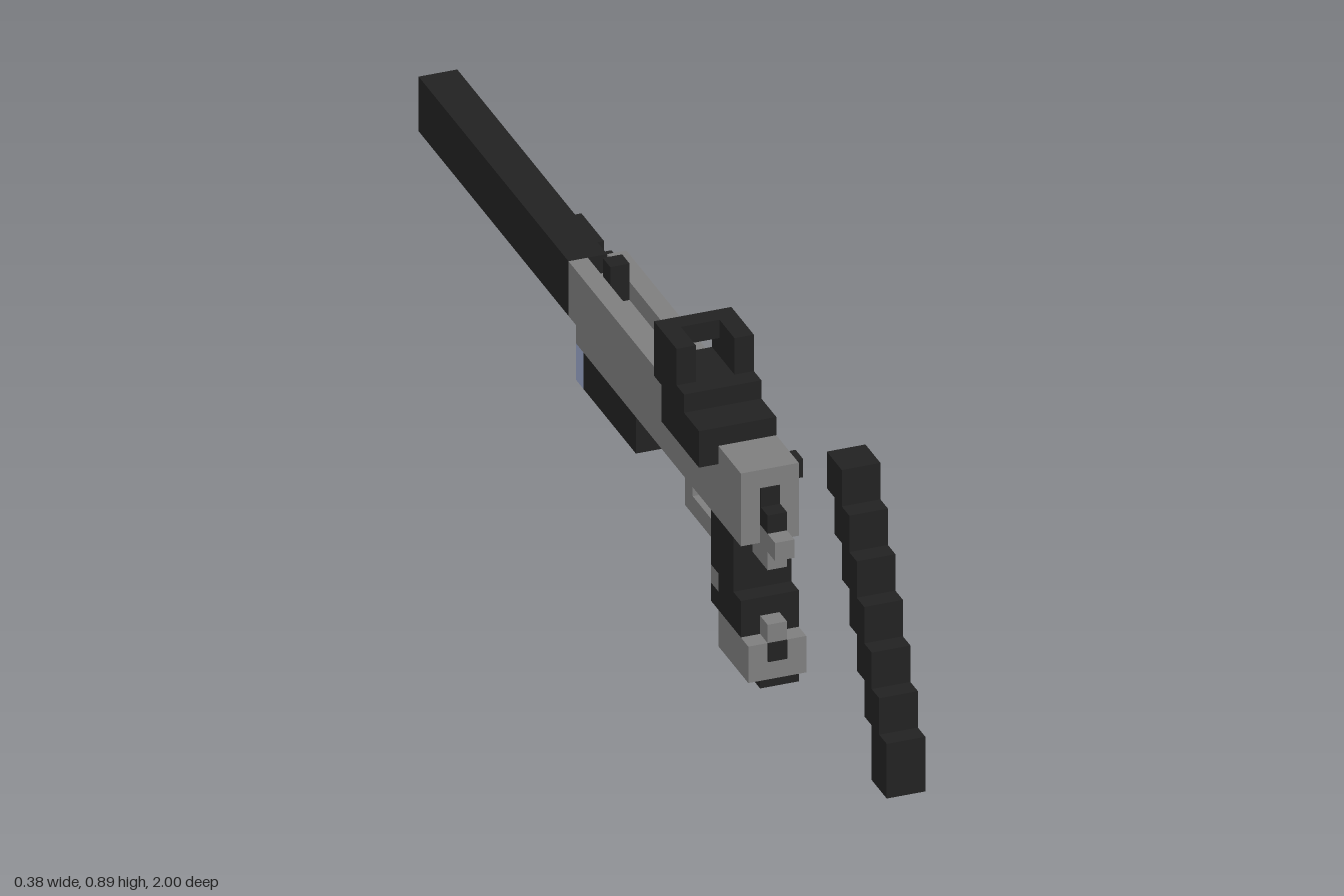
import * as THREE from 'three';

const V = 2 / 47; // size of one block

export function createModel() {
  const model = new THREE.Group();
  model.name = 'blockPistol';
  const mat = (name, color) => {
    const m = new THREE.MeshStandardMaterial({ color });
    m.name = name;
    return m;
  };
  const dark = mat('black', 0x222222);
  const gray = mat('gunmetal', 0x7e7e7e);
  const glass = mat('paleBlue', 0x9aa6c8);

  // Each box is [x0, x1, y0, y1, z0, z1] in block units: x 0..9, y 0..21, z 0..47
  const part = (name, material, ...boxes) => {
    const group = new THREE.Group();
    group.name = name;
    for (const [x0, x1, y0, y1, z0, z1] of boxes) {
      const geo = new THREE.BoxGeometry((x1 - x0) * V, (y1 - y0) * V, (z1 - z0) * V);
      const mesh = new THREE.Mesh(geo, material);
      mesh.name = name;
      mesh.position.set(((x0 + x1) / 2 - 4.5) * V, ((y0 + y1) / 2) * V, ((z0 + z1) / 2 - 23.5) * V);
      group.add(mesh);
    }
    model.add(group);
  };

  // Long muzzle tube with small side lugs
  part('muzzleTube', dark, [1, 3, 14, 17, 0, 20], [3, 4, 15, 16, 14, 17], [3, 4, 15, 16, 18, 20]);

  // Slide in layers, leaving a side port and a groove along the top
  part('slide', gray,
    [1, 4, 13, 14, 21, 43],
    [1, 4, 14, 15, 20, 43],
    [1, 3, 15, 16, 20, 43],
    [3, 4, 15, 16, 20, 36],
    [3, 4, 15, 16, 38, 43],
    [1, 2, 16, 17, 20, 43],
    [3, 4, 16, 17, 20, 43],
    [2, 3, 16, 17, 34, 43]);
  part('portFloor', dark, [3, 3.1, 15, 16, 37, 38]);
  part('chargingHandle', dark, [4, 5, 15, 16, 40, 41]);
  part('frontSight', dark, [2, 3, 16, 18, 22, 23]);

  // Rear end: hammer and tail
  part('hammer', dark, [2, 3, 14, 15, 43, 44], [2, 3, 15, 16, 43, 43.1]);
  part('tail', gray, [2, 3, 13, 14, 43, 45], [2, 3, 12, 13, 42, 44]);

  // Light under the slide
  part('underLight', dark, [1, 4, 11, 13, 22, 29]);
  part('underLightLens', glass, [1, 4, 11, 13, 21, 22]);

  // Optic: stepped base, side clamps, two posts and a top bar
  part('opticBase', dark, [0, 4, 17, 18, 35, 40], [0, 4, 18, 19, 34, 38]);
  part('opticClamp', dark, [0, 1, 16, 17, 35, 40], [4, 4.1, 16.2, 17, 35, 36]);
  part('opticFrame', dark,
    [0, 1, 19, 21, 34, 37],
    [3, 4, 19, 21, 34, 37],
    [1, 3, 20, 21, 34, 35]);

  // Trigger guard
  part('triggerGuard', gray, [2, 3, 10, 11, 33, 38], [2, 3, 11, 13, 33, 34]);

  // Raked grip with front strap and foot
  part('grip', dark,
    [1, 4, 10, 13, 39, 42],
    [1, 4, 8, 10, 40, 43],
    [1, 4, 8, 9, 39, 40],
    [2, 3, 10, 11, 38, 39]);
  part('gripStrap', gray,
    [2, 3, 11, 13, 38, 39],
    [1, 4, 9, 10, 39, 40],
    [2, 3, 8, 9, 43, 44]);
  part('gripFoot', gray, [1, 4, 6, 8, 40, 44]);
  part('gripButton', dark, [2, 3, 7, 8, 44, 44.1]);
  part('magazineBase', dark, [2, 4, 5, 6, 40, 43]);

  // Spare magazine standing beside the grip, stepping back as it goes down
  const steps = [[7, 9, 0, 3, 45, 47]];
  for (let i = 0; i < 6; i++) steps.push([7, 9, 3 + 2 * i, 5 + 2 * i, 44 - i, 46 - i]);
  part('spareMagazine', dark, ...steps);

  return model;
}
